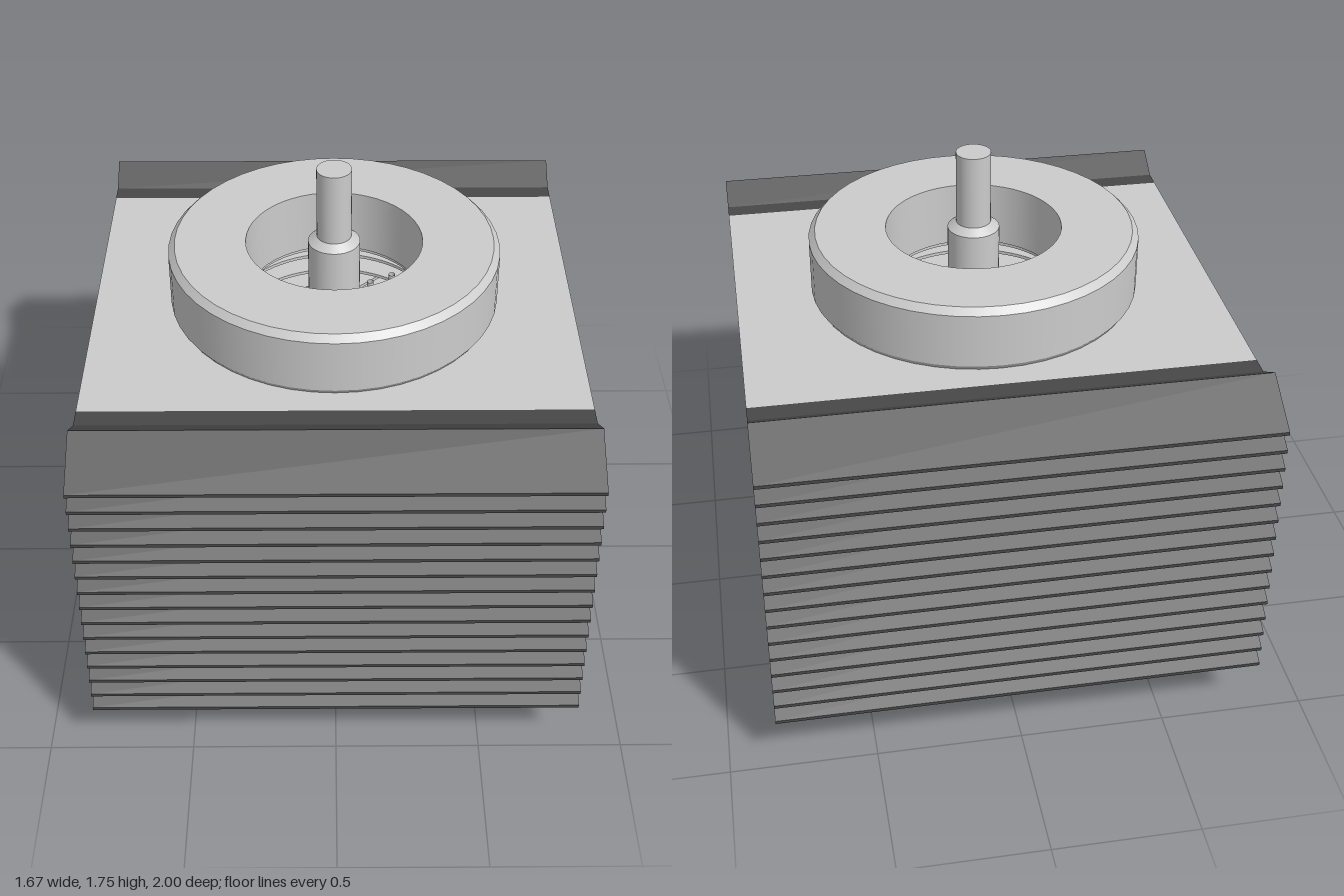
import * as THREE from 'three';

const grey = new THREE.MeshStandardMaterial({ color: 0xcccccc, side: THREE.DoubleSide });
const dark = new THREE.MeshStandardMaterial({ color: 0x484848, side: THREE.DoubleSide });
const V = (x, y) => new THREE.Vector2(x, y);

export function createModel() {
  const root = new THREE.Group();
  const add = (name, geo, mat = grey, parent = root) => {
    const m = new THREE.Mesh(geo, mat);
    m.name = name;
    parent.add(m);
    return m;
  };
  // hard-edged turned part: each profile segment gets its own normals
  const turned = (name, pts, seg = 48) => {
    const g = new THREE.Group();
    g.name = name;
    for (let i = 0; i < pts.length - 1; i++) {
      add(name + 'Surface', new THREE.LatheGeometry([V(...pts[i]), V(...pts[i + 1])], seg), grey, g);
    }
    root.add(g);
  };
  // flat shape in x/z, extruded downward from the given top height
  const slab = (shape, top, depth) => new THREE.ExtrudeGeometry(shape, {
    depth, bevelEnabled: false, curveSegments: 32,
  }).rotateX(Math.PI / 2).translate(0, top, 0);

  // ring magnets, chamfered on the outward edge
  turned('lowerMagnet', [[0.305, 0], [0.55, 0], [0.572, 0.025], [0.572, 0.225],
    [0.56, 0.243], [0.305, 0.243], [0.305, 0]]);
  turned('upperMagnet', [[0.305, 1.237], [0.56, 1.237], [0.572, 1.255], [0.572, 1.445],
    [0.55, 1.468], [0.305, 1.468], [0.305, 1.237]]);

  // cooling fins: flat plates, cut open on the +x side at the inner levels
  const W = 0.835, D = 0.65, R = 0.366, T = 0.012;
  const cutWidths = [0, 0.24, 0.64, 0.64, 0.64, 0.64, 0.5, 0.64, 0.64, 0.64, 0.64, 0.64, 0.2, 0.15, 0];
  const finShape = (w) => {
    const s = new THREE.Shape();
    s.moveTo(-W, -D);
    s.lineTo(W, -D);
    if (w) {
      const a = Math.min(Math.asin(Math.min(w / R, 1)), 1.3);
      s.lineTo(W, -w);
      s.lineTo(0.4, -w);
      s.lineTo(R * Math.cos(a), -R * Math.sin(a));
      s.absarc(0, 0, R, -a, a, true);
      s.lineTo(0.4, w);
      s.lineTo(W, w);
    }
    s.lineTo(W, D);
    s.lineTo(-W, D);
    s.closePath();
    if (!w) s.holes.push(new THREE.Path().absarc(0, 0, 0.31, 0, Math.PI * 2, true));
    return s;
  };
  // bent fin edge, profile in z/y
  const edge = [[0.65, 0], [0.72, 0], [0.82, 0.062], [1, -0.045]];
  const edgeShape = (side) => new THREE.Shape([
    ...edge.map(([z, y]) => V(side * z, y + T / 2)),
    ...[...edge].reverse().map(([z, y]) => V(side * z, y - T / 2)),
  ]);
  cutWidths.forEach((w, i) => {
    const y = 0.25 + i * 0.07;
    const fin = new THREE.Group();
    fin.name = 'coolingFin';
    root.add(fin);
    add('finPlate', slab(finShape(w), y + T / 2, T), grey, fin);
    for (const side of [-1, 1]) {
      const g = new THREE.ExtrudeGeometry(edgeShape(side), { depth: 2 * W, bevelEnabled: false });
      add('finEdge', g.rotateY(-Math.PI / 2).translate(W, y, 0), dark, fin);
    }
  });

  // lips of the lowest cut fin, bent down to the bottom fin
  for (const side of [-1, 1]) {
    const lip = add('finLip', new THREE.BoxGeometry(W - 0.4, 0.01, 0.13));
    lip.position.set((W + 0.4) / 2, 0.287, side * 0.185);
    lip.rotation.x = -side * 0.567;
  }

  // anode block with eight keyhole cavities
  const anode = new THREE.Shape().absarc(0, 0, 0.366, 0, Math.PI * 2, false);
  const bore = [];
  const polar = (r, a) => bore.push(V(r * Math.cos(a), r * Math.sin(a)));
  for (let i = 0; i < 8; i++) {
    const a = i * Math.PI / 4;
    [[0.2, -0.125], [0.265, -0.094], [0.285, -0.15], [0.325, -0.13], [0.335, 0], [0.325, 0.13],
      [0.285, 0.15], [0.265, 0.094], [0.2, 0.125], [0.2, 0.26], [0.2, 0.39], [0.2, 0.52]]
      .forEach(([r, d]) => polar(r, a + d));
  }
  anode.holes.push(new THREE.Path(bore));
  add('anodeBlock', slab(anode, 1, 0.35));

  // windows on the open face of the anode
  for (const z of [-0.095, 0, 0.095]) {
    const b = add('anodeWindow', new THREE.BoxGeometry(0.02, 0.17, 0.03));
    b.position.set(Math.sqrt(0.366 ** 2 - z * z) - 0.002, 0.815, z);
  }

  // bent rods running through the anode, in pairs
  for (const a of [-Math.PI / 6, 0, Math.PI / 6]) {
    for (const [outer, inner] of [[0.24, 0.205], [0.15, 0.185]]) {
      const pts = [[outer, 0.24], [outer, 0.55], [outer, 0.6], [inner, 0.66], [inner, 0.83],
        [inner, 0.99], [outer, 1.05], [outer, 1.1], [outer, 1.24]]
        .map(([r, y]) => new THREE.Vector3(r * Math.cos(a), y, -r * Math.sin(a)));
      add('bentRod', new THREE.TubeGeometry(new THREE.CatmullRomCurve3(pts), 40, 0.012, 8));
    }
  }

  // central cathode stem and antenna
  turned('cathodeStem', [[0, 0.06], [0.06, 0.06], [0.06, 0.12], [0.09, 0.14], [0.09, 0.47],
    [0.065, 0.5], [0.065, 1.06], [0.09, 1.08], [0.09, 1.465], [0.06, 1.487], [0.06, 1.747], [0, 1.747]], 32);
  return root;
}
